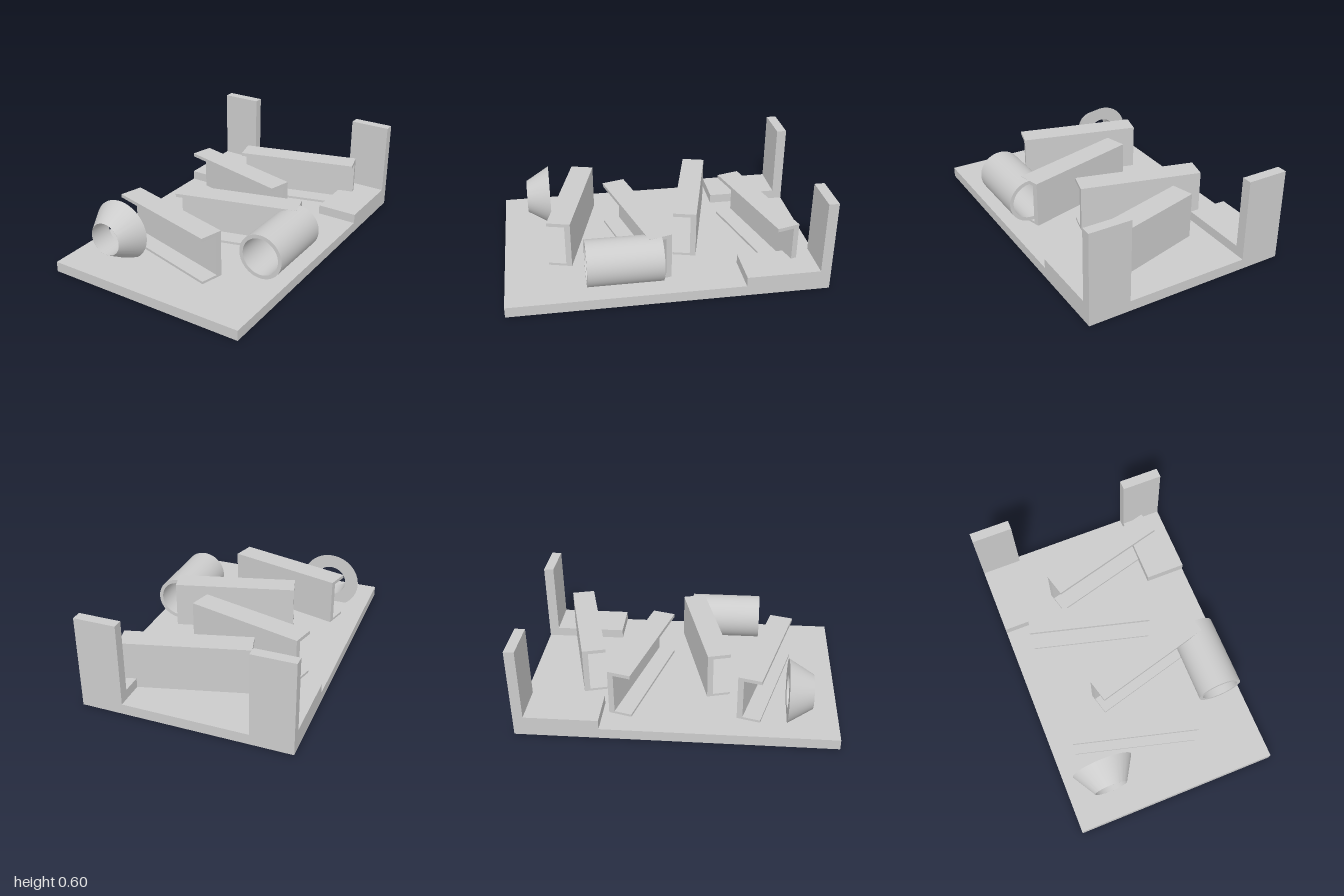
import * as THREE from 'three';
import { toCreasedNormals } from 'three/addons/utils/BufferGeometryUtils.js';

const material = new THREE.MeshStandardMaterial({ color: 0xcccccc });

export function createModel() {
  const model = new THREE.Group();
  model.name = 'stockyardTray';

  const add = (name, geometry, x, y, z) => {
    const mesh = new THREE.Mesh(geometry, material);
    mesh.name = name;
    mesh.position.set(x, y, z);
    model.add(mesh);
    return mesh;
  };
  // Box given by its min and max corners
  const box = (name, [x0, y0, z0], [x1, y1, z1]) =>
    add(name, new THREE.BoxGeometry(x1 - x0, y1 - y0, z1 - z0),
      (x0 + x1) / 2, (y0 + y1) / 2, (z0 + z1) / 2);

  // Base plate with two raised pads and upright posts at the back corners
  box('basePlate', [-0.667, 0, -1], [0.667, 0.067, 1]);
  for (const [side, x0, x1] of [['left', 0.4, 0.667], ['right', -0.667, -0.4]]) {
    box(side + 'Pad', [x0, 0.067, -0.935], [x1, 0.129, -0.47]);
    box(side + 'Post', [x0, 0.067, -1], [x1, 0.6, -0.935]);
  }

  // C-channel beams: web at the back, flanges reaching forward
  const length = 0.797, half = 0.075, web = 0.037, flange = 0.023, height = 0.313;
  const section = new THREE.Shape([
    [-half, 0], [half, 0], [half, flange], [-half + web, flange],
    [-half + web, height - flange], [half, height - flange], [half, height], [-half, height],
  ].map(([z, y]) => new THREE.Vector2(-z, y)));
  const channel = new THREE.ExtrudeGeometry(section, { depth: length, bevelEnabled: false });
  channel.translate(0, 0, -length / 2).rotateY(Math.PI / 2);
  [[-0.125, 0.545, -1], [0.125, 0.145, 1], [-0.125, -0.255, -1], [0.125, -0.655, 1]]
    .forEach(([x, z, turn], i) => {
      add('channelBeam' + (i + 1), channel, x, 0.06, z).rotation.y = turn * Math.PI / 12;
    });

  // Hollow turned parts lying along z; profile of [radius, z]
  const ring = (name, profile, x, y) => {
    const points = [...profile, profile[0]].map(([r, z]) => new THREE.Vector2(r, z));
    const geometry = new THREE.LatheGeometry(points, 64).rotateX(Math.PI / 2);
    add(name, toCreasedNormals(geometry, 0.5), x, y, 0);
  };
  ring('pipe', [[0.121, 0.035], [0.145, 0.035], [0.145, 0.502], [0.121, 0.502]], 0.505, 0.228);
  ring('coneRing', [[0.107, 0.68], [0.2, 0.68], [0.108, 0.835], [0.107, 0.835]], -0.4, 0.228);

  return model;
}
